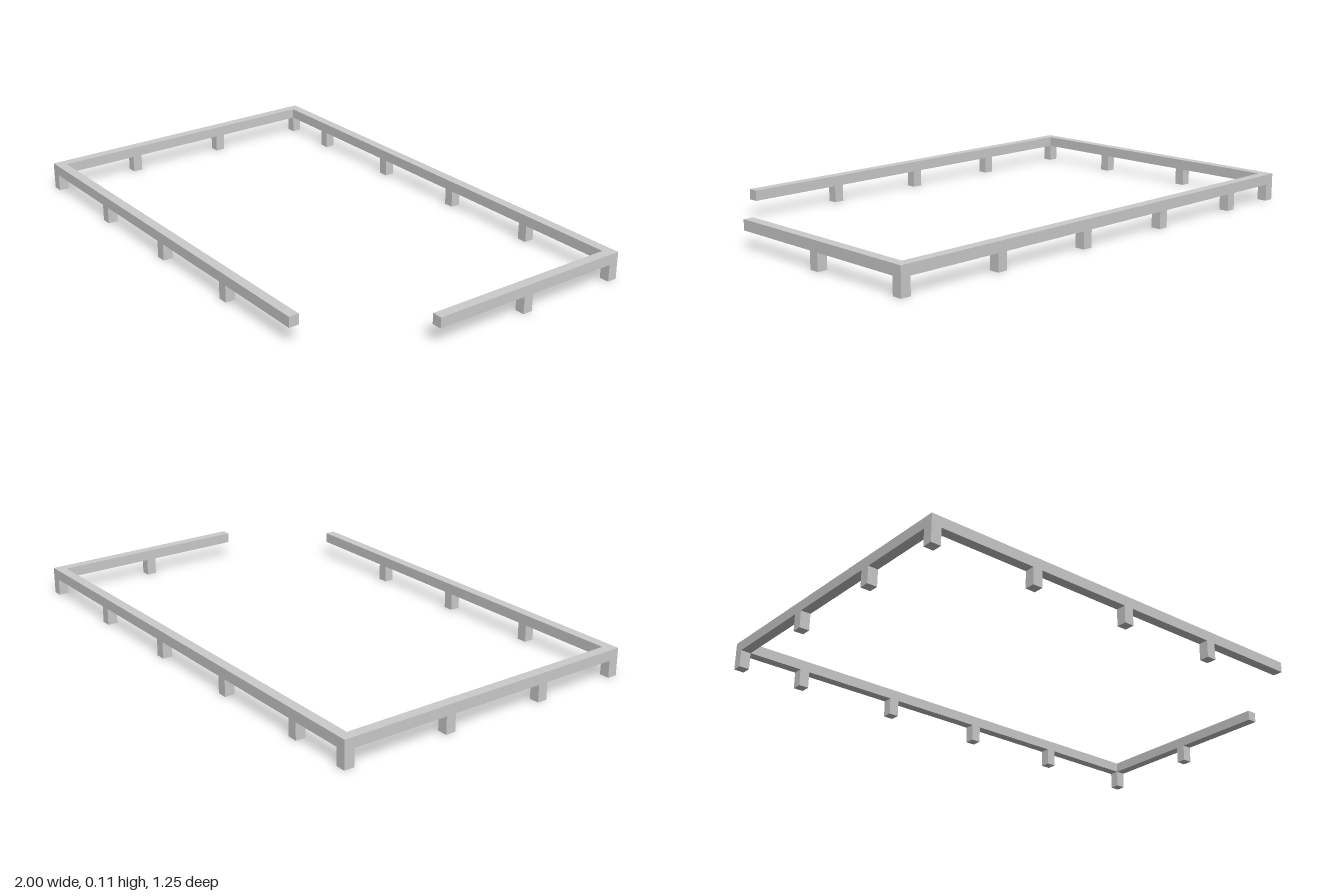
import * as THREE from 'three';

const W = 0.04;        // rail and post thickness
const POST_H = 0.067;  // underside of the rails
const TOP = 0.108;     // top of the rails
const X = 0.98;        // rail centre lines
const Z = 0.603;
const STEP = 0.425;    // post spacing

export function createModel() {
  const model = new THREE.Group();
  const material = new THREE.MeshStandardMaterial({ color: 0xcccccc, flatShading: true });

  // Box given by its lower and upper corners
  function addBox(name, x0, x1, y0, y1, z0, z1) {
    const mesh = new THREE.Mesh(new THREE.BoxGeometry(x1 - x0, y1 - y0, z1 - z0), material);
    mesh.position.set((x0 + x1) / 2, (y0 + y1) / 2, (z0 + z1) / 2);
    mesh.name = name;
    model.add(mesh);
  }
  const h = W / 2;
  const rail = (name, x0, x1, z0, z1) => addBox(name, x0, x1, POST_H, TOP, z0, z1);
  const post = (name, x, z) => addBox(name, x - h, x + h, 0, POST_H, z - h, z + h);

  // Rails: the front and left ones stop short, leaving an open corner
  rail('backRail', -X - h, X + h, -Z - h, -Z + h);
  rail('frontRail', -X - h, 0.7, Z - h, Z + h);
  rail('rightRail', -X - h, -X + h, -Z + h, Z - h);
  rail('leftRail', X - h, X + h, -Z + h, 0.225);

  // Posts, stepped along each rail from its starting corner
  for (let i = 0; i < 4; i++) post('frontPost', -X + i * STEP, Z);
  for (let i = 0; i < 5; i++) post('backPost', X - i * STEP, -Z);
  post('cornerPost', -X, -Z);
  for (let i = 1; i < 3; i++) post('rightPost', -X, -Z + i * STEP);
  post('leftPost', X, -Z + STEP);

  return model;
}
